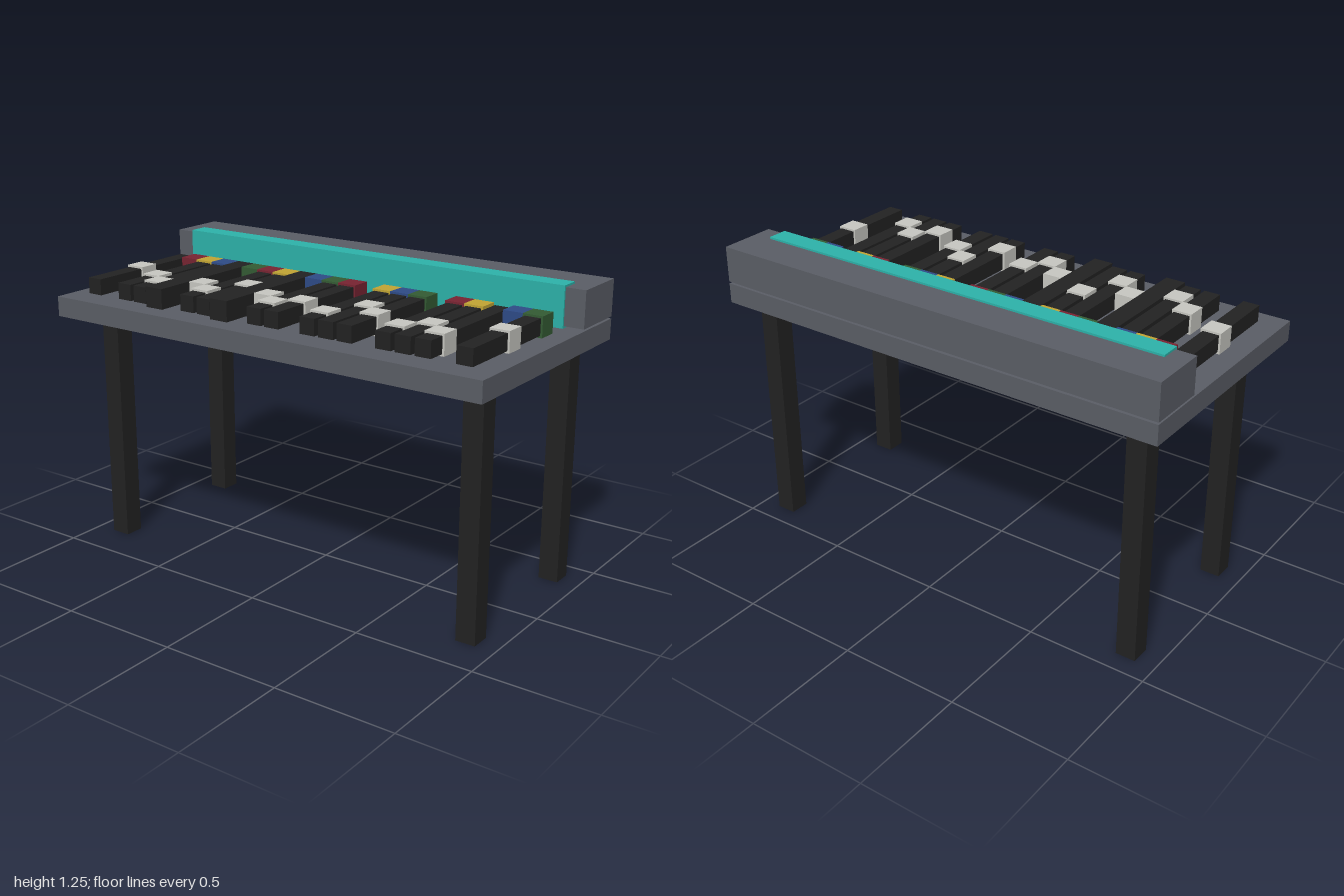
import * as THREE from 'three';

const U = 1 / 12; // one block
const GAP = 0.1 * U; // inset of the slimmer parts

function material(name, color) {
  const m = new THREE.MeshStandardMaterial({ color });
  m.name = name;
  return m;
}

export function createModel() {
  const model = new THREE.Group();
  model.name = 'controlDesk';
  const mats = {
    grey: material('slateGrey', 0x5b5e66),
    black: material('black', 0x222222),
    teal: material('teal', 0x2db3aa),
    white: material('offWhite', 0xc8c8c2),
    r: material('darkRed', 0x782432),
    y: material('mustard', 0xc2a534),
    b: material('blue', 0x2e4b87),
    g: material('green', 0x345c34),
  };

  // Box given by its min and max corners
  function box(name, mat, [x0, y0, z0], [x1, y1, z1], parent = model) {
    const mesh = new THREE.Mesh(new THREE.BoxGeometry(x1 - x0, y1 - y0, z1 - z0), mat);
    mesh.position.set((x0 + x1) / 2, (y0 + y1) / 2, (z0 + z1) / 2);
    mesh.name = name;
    parent.add(mesh);
  }

  // Table top and legs
  const top = 13 * U;
  box('tableTop', mats.grey, [-1, 1, -0.5], [1, top, 0.5]);
  for (const x of [-11 * U, 10 * U]) {
    box('frontLeg', mats.black, [x, 0, 3 * U], [x + U, 1, 4 * U]);
    box('backLeg', mats.black, [x, 0, -5 * U], [x + U, 1, -4 * U]);
  }

  // Raised rear housing with its display panel
  box('rearHousing', mats.grey, [-1, top + GAP, -0.5], [1, 15 * U - GAP, -3 * U - GAP]);
  box('displayPanel', mats.teal, [-11 * U, top, -4 * U], [11 * U, 15 * U, -3 * U]);

  // Columns from -x to +x: button colour, track (n narrow, w wide), knob row; '-' for none
  const columns = ('-n1 r-- yn2 bn3 -w- g-2 rn3 yn1 -w- b-2 gn3 rn2 --- ' +
    'yn3 bn1 gn2 --- rn3 yn2 -n3 b-- gn1').split(' ');
  const sliders = new THREE.Group();
  sliders.name = 'sliderBank';
  model.add(sliders);
  columns.forEach(([button, track, knob], i) => {
    const x = (i - 11) * U;
    const cube = (name, mat, row) =>
      box(name, mat, [x, top, row * U], [x + U, top + U, (row + 1) * U], sliders);
    if (button !== '-') cube('button', mats[button], -2);
    if (knob !== '-') cube('sliderKnob', mats.white, Number(knob));
    if (track !== '-') {
      const g = track === 'n' ? GAP : 0;
      box('sliderTrack', mats.black, [x + g, top + g, -2 * U + g],
        [x + U - g, top + U - g, 5 * U - g], sliders);
    }
  });
  return model;
}
